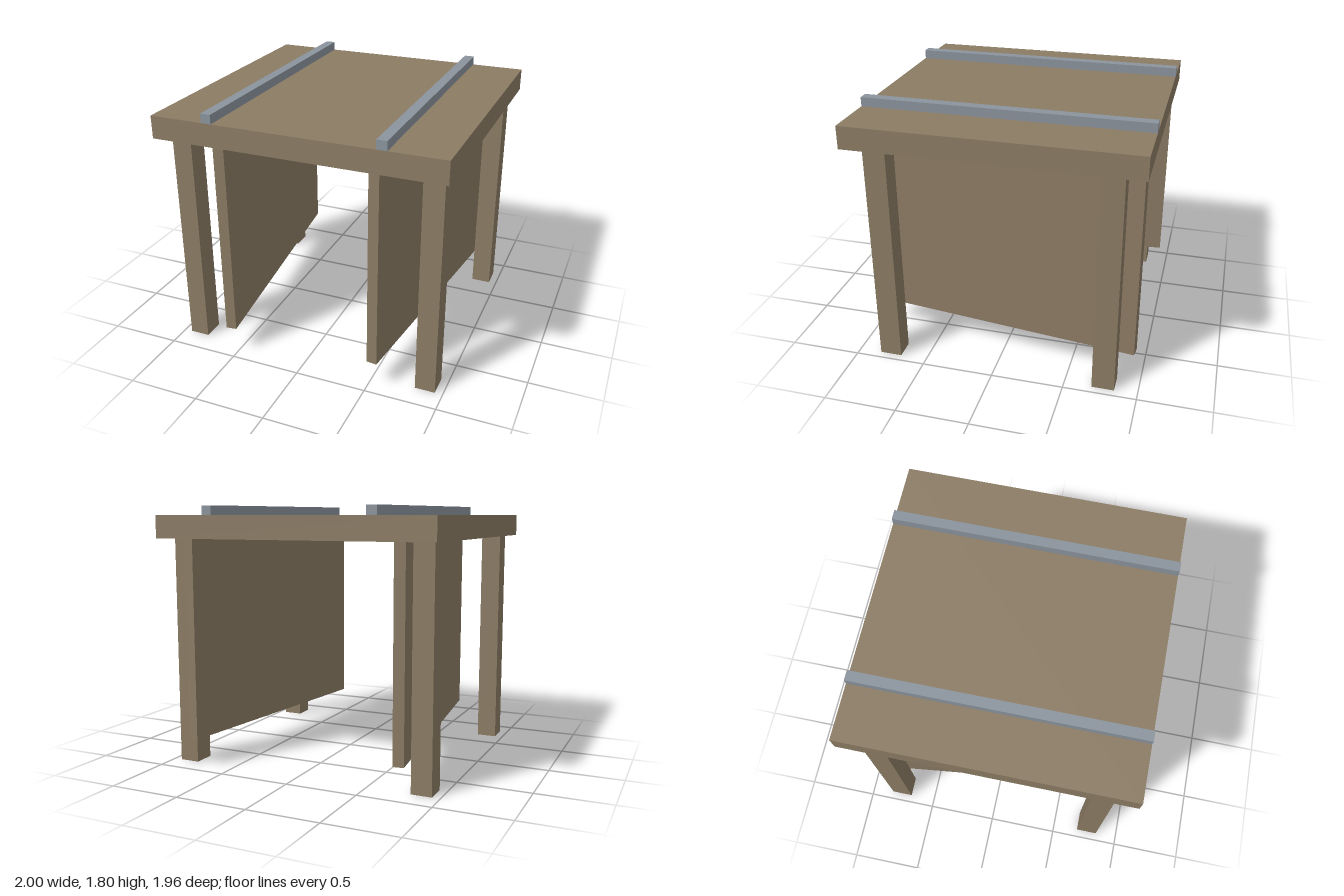
import * as THREE from 'three';

export function createModel() {
  const model = new THREE.Group();
  model.name = 'table';

  const wood = new THREE.MeshStandardMaterial({ color: 0x8b7b64 });
  wood.name = 'brown wood';
  const metal = new THREE.MeshStandardMaterial({ color: 0x8a939d });
  metal.name = 'grey metal';

  // Box resting with its underside at height y
  function addBox(name, material, [w, h, d], [x, y, z], turn = 0) {
    const mesh = new THREE.Mesh(new THREE.BoxGeometry(w, h, d), material);
    mesh.name = name;
    mesh.position.set(x, y + h / 2, z);
    mesh.rotation.y = turn;
    model.add(mesh);
  }

  const topBase = 1.58, topThickness = 0.157, depth = 1.956;
  addBox('tableTop', wood, [2, topThickness, depth], [0, topBase, 0]);

  for (const side of [1, -1]) {
    const label = side > 0 ? 'left' : 'right';

    // Rail running front to back over the top
    addBox(label + 'Rail', metal, [0.07, 0.063, depth], [side * 0.588, topBase + topThickness, 0]);

    // Side panel, splayed outwards towards the back
    addBox(label + 'Panel', wood, [0.073, topBase - 0.2, 1.912], [side * 0.646, 0.2, 0], -side * 0.12);

    // Legs
    for (const end of [1, -1]) {
      addBox(label + (end > 0 ? 'FrontLeg' : 'BackLeg'), wood,
        [0.14, topBase, 0.153], [side * 0.875, 0, end * 0.765]);
    }
  }

  return model;
}
